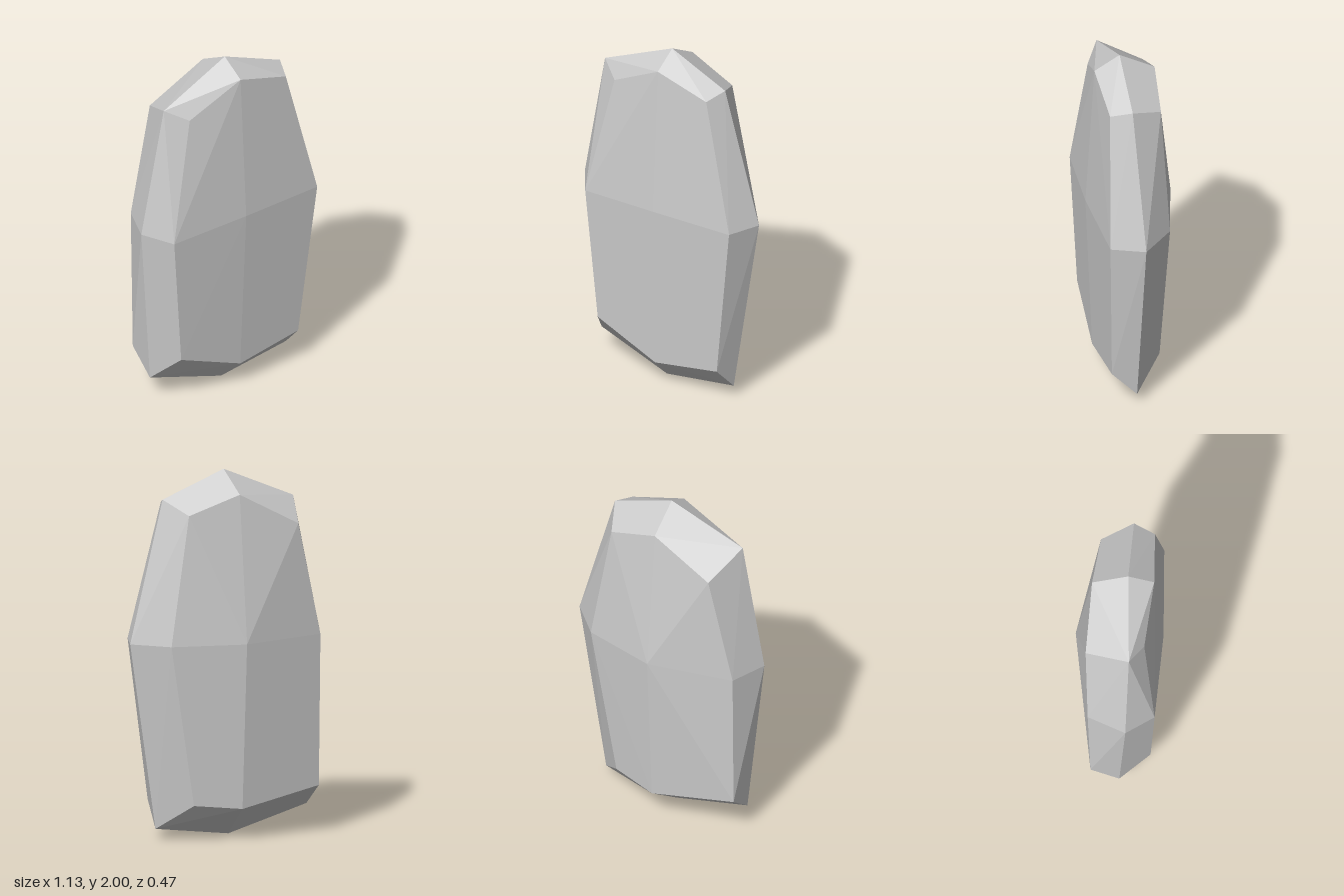
import * as THREE from 'three';
import { ConvexGeometry } from 'three/addons/geometries/ConvexGeometry.js';

// Corners of the stone in three upright slices, each row running right, middle, left
const slices = {
  front: [
    [-0.31, 1.755, 0.14], [0, 1.92, 0.185], [0.31, 1.825, 0.18],
    [-0.46, 1.06, 0.2], [0, 1.085, 0.235], [0.488, 1.085, 0.225],
    [-0.395, 0.295, 0.176], [-0.01, 0.14, 0.195], [0.385, 0.2, 0.19],
  ],
  // widest outline
  middle: [
    [-0.425, 1.82, 0.06], [0, 2, 0.045], [0.357, 1.857, 0.066],
    [-0.565, 1.085, 0.045], [0.562, 1.085, 0.045],
    [-0.48, 0.135, 0.01], [-0.03, 0, 0.05], [0.405, 0.06, 0.055],
  ],
  back: [
    [-0.34, 1.71, -0.175], [0, 1.89, -0.15], [0.285, 1.79, -0.11],
    [-0.48, 1.09, -0.16], [0, 1.085, -0.238], [0.4, 1.085, -0.13],
    [-0.478, 0.26, -0.145], [0, 0.175, -0.183], [0.255, 0.2, -0.11],
  ],
};

export function createModel() {
  const group = new THREE.Group();
  group.name = 'standingStone';

  // Faceted skin stretched over the corners
  const corners = Object.values(slices).flat().map((p) => new THREE.Vector3(...p));
  const stone = new THREE.Mesh(
    new ConvexGeometry(corners),
    new THREE.MeshStandardMaterial({ color: 0xcccccc, flatShading: true })
  );
  stone.name = 'stone';
  group.add(stone);
  return group;
}
